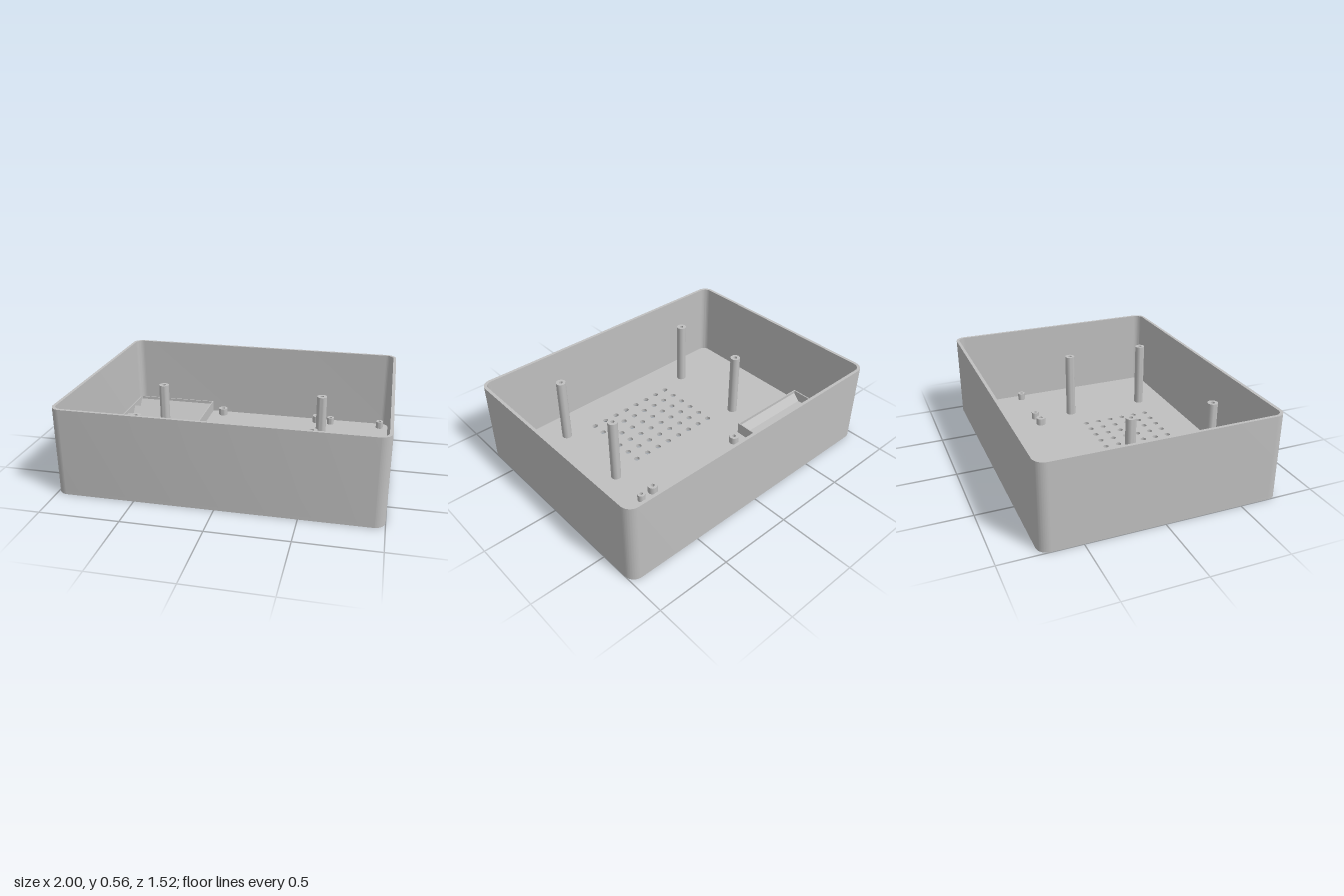
import * as THREE from 'three';
import { toCreasedNormals } from 'three/addons/utils/BufferGeometryUtils.js';

const W = 2, D = 1.52, H = 0.56, WALL = 0.02, FLOOR = 0.02, R = 0.07;

// Rounded rectangle centred on the origin
function roundedRect(path, w, d, r) {
  const x = w / 2, y = d / 2;
  path.moveTo(-x + r, -y);
  path.lineTo(x - r, -y);
  path.absarc(x - r, -y + r, r, -Math.PI / 2, 0, false);
  path.lineTo(x, y - r);
  path.absarc(x - r, y - r, r, 0, Math.PI / 2, false);
  path.lineTo(-x + r, y);
  path.absarc(-x + r, y - r, r, Math.PI / 2, Math.PI, false);
  path.lineTo(-x, -y + r);
  path.absarc(-x + r, -y + r, r, Math.PI, Math.PI * 1.5, false);
  return path;
}

function circle(path, x, y, r) {
  path.absarc(x, y, r, 0, Math.PI * 2, false);
  return path;
}

// Extrude a plan shape (shape y = -z) upwards
function extrudeUp(shape, height) {
  const g = new THREE.ExtrudeGeometry(shape, { depth: height, bevelEnabled: false, curveSegments: 12 });
  g.rotateX(-Math.PI / 2);
  return toCreasedNormals(g, 0.7);
}

export function createModel() {
  const model = new THREE.Group();
  model.name = 'enclosure';
  const grey = new THREE.MeshStandardMaterial({ color: 0xbfbfbf });
  grey.name = 'grey plastic';

  const add = (name, geometry, x = 0, y = 0, z = 0, parent = model) => {
    const mesh = new THREE.Mesh(geometry, grey);
    mesh.name = name;
    mesh.position.set(x, y, z);
    parent.add(mesh);
    return mesh;
  };

  // Floor with a grid of vent holes
  const floor = roundedRect(new THREE.Shape(), W, D, R);
  const pitch = 0.0943;
  for (let i = 0; i < 8; i++) {
    for (let j = 0; j < 6; j++) {
      floor.holes.push(circle(new THREE.Path(), (i - 3.5) * pitch, -(0.021 + j * pitch), 0.019));
    }
  }
  add('floor', extrudeUp(floor, FLOOR));

  // Outer walls
  const walls = roundedRect(new THREE.Shape(), W, D, R);
  walls.holes.push(roundedRect(new THREE.Path(), W - 2 * WALL, D - 2 * WALL, R - WALL));
  add('walls', extrudeUp(walls, H - FLOOR), 0, FLOOR, 0);

  // Hollow screw posts
  const posts = (name, xs, zs, r, hole, top) => {
    const ring = circle(new THREE.Shape(), 0, 0, r);
    ring.holes.push(circle(new THREE.Path(), 0, 0, hole));
    const g = extrudeUp(ring, top - FLOOR);
    for (const x of xs) for (const z of zs) add(name, g, x, FLOOR, z);
  };
  posts('tallPost', [-0.54, 0.54], [-0.022, 0.538], 0.033, 0.013, 0.475);
  posts('shortPost', [-0.287, 0.45], [-0.682, -0.287], 0.033, 0.013, 0.07);
  posts('smallPost', [0.553, 0.92], [-0.667, -0.298], 0.026, 0.011, 0.07);

  // Battery holder: thin frame around three troughs
  const holder = new THREE.Group();
  holder.name = 'batteryHolder';
  model.add(holder);
  const x0 = -0.98, x1 = -0.38, z0 = -0.733, z1 = -0.235, t = 0.008, top = 0.1;
  const h = top - FLOOR, yMid = FLOOR + h / 2, xMid = (x0 + x1) / 2, zMid = (z0 + z1) / 2;
  const end = new THREE.BoxGeometry(t, h, z1 - z0);
  const side = new THREE.BoxGeometry(x1 - x0 - 2 * t, h, t);
  for (const x of [x0 + t / 2, x1 - t / 2]) add('holderEnd', end, x, yMid, zMid, holder);
  for (const z of [z0 + t / 2, z1 - t / 2]) add('holderSide', side, xMid, yMid, z, holder);

  // Trough cross-section, drawn front to back and run along x
  const bay = (z1 - z0 - 2 * t) / 3, slope = 0.045, low = 0.03, ridge = 0.08;
  const section = new THREE.Shape();
  section.moveTo(z0 + t, FLOOR);
  section.lineTo(z1 - t, FLOOR);
  for (let i = 2; i >= 0; i--) {
    const a = z0 + t + i * bay;
    section.lineTo(a + bay, ridge);
    section.lineTo(a + bay - slope, low);
    section.lineTo(a + slope, low);
    section.lineTo(a, ridge);
  }
  const troughs = new THREE.ExtrudeGeometry(section, { depth: x1 - x0 - 2 * t, bevelEnabled: false });
  troughs.rotateY(-Math.PI / 2);
  troughs.scale(1, 1, 1);
  add('batteryTroughs', troughs, x1 - t, 0, 0, holder);

  return model;
}
